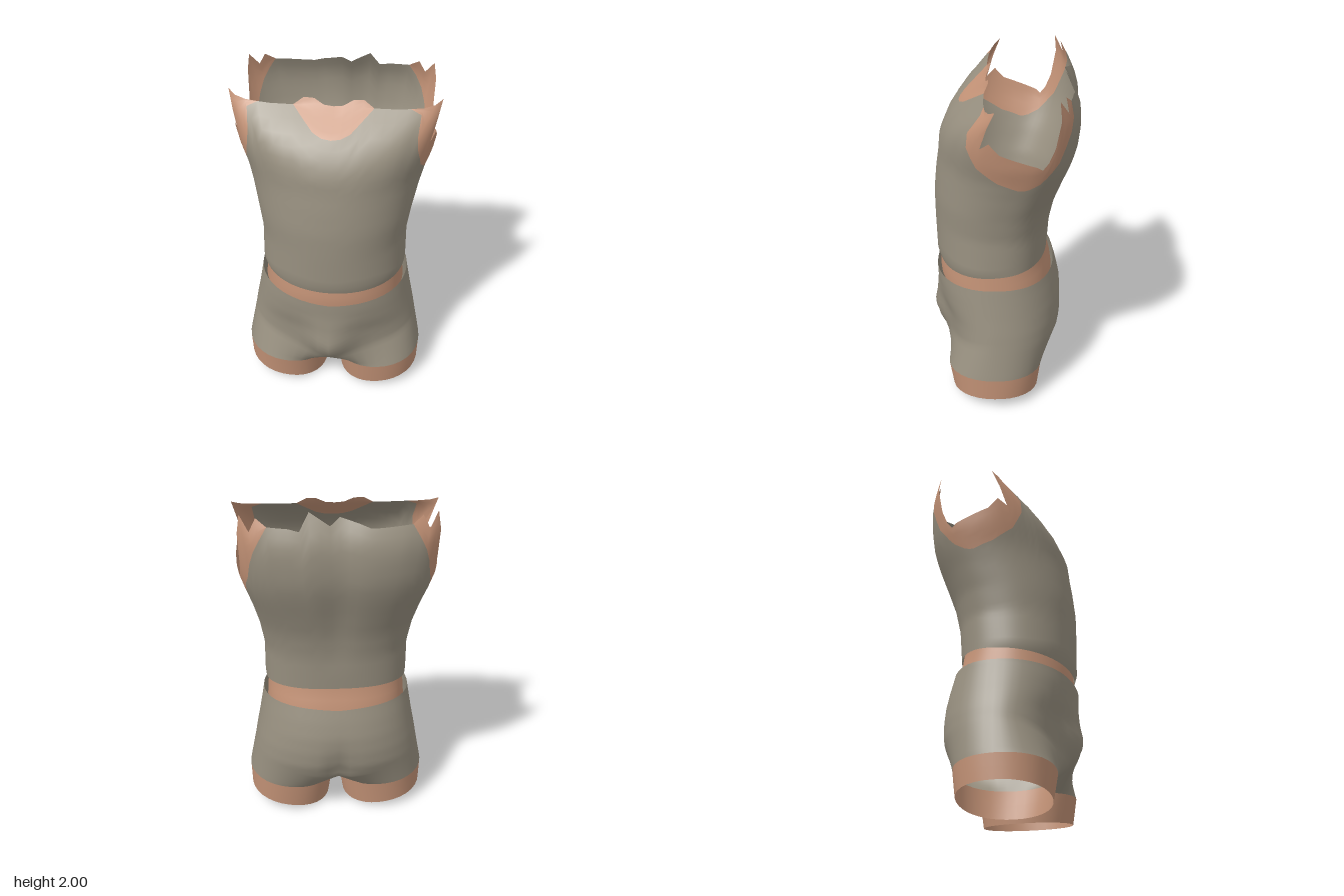
import * as THREE from 'three';
import { mergeGeometries, mergeVertices } from 'three/addons/utils/BufferGeometryUtils.js';

const RAD = Math.PI / 180;
const lerp = THREE.MathUtils.lerp;

// Linear lookup in a table of [key, value, value, ...]
function look(table, key, col = 1) {
  if (key <= table[0][0]) return table[0][col];
  for (let i = 1; i < table.length; i++) {
    const a = table[i - 1], b = table[i];
    if (key <= b[0]) return lerp(a[col], b[col], (key - a[0]) / (b[0] - a[0]));
  }
  return table[table.length - 1][col];
}

// Body cross-sections: [y, half width, front z, back z, widest z, front squareness, back squareness]
function section(table, deg, y) {
  const [w, f, b, mid, nf, nb] = [1, 2, 3, 4, 5, 6].map(c => look(table, y, c));
  const s = Math.sin(deg * RAD), c = Math.cos(deg * RAD);
  const n = c > 0 ? nf : nb;
  const r = (Math.abs(s) ** n + Math.abs(c) ** n) ** (-1 / n);
  return [w * s * r, y, mid + (c > 0 ? f - mid : mid - b) * c * r];
}

// Skin over rows of points running upwards; rows from splitRow on use the second material
function loft(rows, closed, splitRow = Infinity) {
  const n = rows[0].length, index = [];
  const g = new THREE.BufferGeometry();
  let split = 0;
  for (let r = 0; r < rows.length - 1; r++) {
    if (r === splitRow) split = index.length;
    for (let c = 0; c < (closed ? n : n - 1); c++) {
      const a = r * n + c, b = r * n + (c + 1) % n;
      index.push(a, b, b + n, a, b + n, a + n);
    }
  }
  g.setAttribute('position', new THREE.Float32BufferAttribute(rows.flat(2), 3));
  g.setIndex(index);
  if (split) {
    g.addGroup(0, split, 0);
    g.addGroup(split, index.length - split, 1);
  }
  g.computeVertexNormals();
  return g;
}

// Joins left-side pieces with their mirror images into one smooth surface
function mirrored(pieces) {
  const all = [];
  for (const g of pieces) {
    g.deleteAttribute('normal');
    const m = g.clone().scale(-1, 1, 1);
    m.setIndex(Array.from(m.index.array).reverse());
    all.push(g, m);
  }
  const out = mergeVertices(mergeGeometries(all), 1e-4);
  out.computeVertexNormals();
  return out;
}

const steps = (n, fn) => Array.from({ length: n + 1 }, (_, i) => fn(i / n));
const ring = fn => Array.from({ length: 72 }, (_, i) => fn(i * 5));

const TORSO = [
  [0.83, 0.405, 0.38, -0.24, 0.05, 2.05, 2.4], [0.88, 0.422, 0.395, -0.255, 0.05, 2.05, 2.4],
  [1.1, 0.42, 0.4, -0.27, 0.03, 2.05, 2.4], [1.25, 0.445, 0.4, -0.3, 0, 2.1, 2.4],
  [1.4, 0.48, 0.385, -0.35, -0.06, 2.1, 2.5], [1.5, 0.51, 0.37, -0.385, -0.1, 2.1, 2.6],
  [1.6, 0.543, 0.36, -0.415, -0.1, 2.15, 2.7], [1.7, 0.56, 0.315, -0.425, -0.1, 2.5, 2.8],
  [1.78, 0.57, 0.25, -0.423, -0.1, 3, 3], [1.84, 0.58, 0.175, -0.415, -0.12, 4, 3],
  [1.9, 0.592, 0.1, -0.39, -0.14, 6, 3], [2, 0.6, 0.04, -0.335, -0.15, 8, 3.2],
];
// Torn upper edge by angle from the front
const TOP = [
  [0, 1.9], [5, 1.905], [13, 1.95], [20, 1.9], [30, 1.9], [43, 1.91], [50, 1.94], [55, 1.84], [60, 1.72],
  [65, 1.76], [75, 1.7], [90, 1.66], [105, 1.63], [112, 1.6], [120, 1.73], [125, 1.88], [130, 1.98],
  [135, 1.9], [140, 1.97], [145, 1.93], [160, 1.92], [180, 1.92],
];
// Uneven tears along the back of the neck, by full angle
const TEARS = { 160: 1.91, 165: 2, 170: 1.965, 175: 1.93, 180: 1.97, 185: 1.955, 190: 1.94 };
// Lower edge of the bare skin at the neck and the armholes
const SKIN_EDGE = [
  [0, 1.78], [5, 1.785], [10, 1.805], [15, 1.85], [20, 1.9], [22, 2.1], [35, 2.1], [40, 1.88], [45, 1.78],
  [50, 1.7], [60, 1.59], [75, 1.51], [90, 1.47], [98, 1.47], [112, 1.52], [125, 1.63], [132, 1.75],
  [145, 1.93], [148, 2.1],
];
const HIPS = [
  [0.28, 0.525, 0.32, -0.3, 0.03, 2.3, 2.3], [0.4, 0.505, 0.322, -0.345, 0.03, 2.2, 2.3],
  [0.5, 0.488, 0.338, -0.352, 0.03, 2.15, 2.3], [0.6, 0.468, 0.376, -0.345, 0.03, 2.1, 2.3],
  [0.7, 0.45, 0.395, -0.322, 0.03, 2.1, 2.35], [0.79, 0.435, 0.4, -0.295, 0.03, 2.1, 2.4],
];
const WAIST = [
  [0.7, 0.415, 0.375, -0.29, 0.04, 2.05, 2.4], [0.77, 0.41, 0.38, -0.28, 0.04, 2.05, 2.4],
  [0.9, 0.4, 0.37, -0.245, 0.05, 2.05, 2.4],
];

// Torso with a shallow groove along the upper spine
function torsoPoint(deg, y) {
  const p = section(TORSO, deg, y);
  const depth = 0.02 * THREE.MathUtils.clamp((y - 1) / 0.4, 0, 1);
  if (deg > 90 && deg < 270) p[2] += depth * Math.exp(-((p[0] / 0.09) ** 2));
  return p;
}

// Hips with a fuller front and a cleft at the back
function hipPoint(deg, y) {
  const p = section(HIPS, deg, y);
  const bump = (w, h, y0) => Math.exp(-((p[0] / w) ** 2) - ((y - y0) / h) ** 2);
  p[2] += deg < 90 ? 0.1 * bump(0.14, y > 0.41 ? 0.17 : 0.13, 0.41) : 0.045 * bump(0.06, 0.16, 0.34);
  return p;
}

// Ring around the left leg, starting at the inner front, on a slanted plane
function legPoint(deg, x0, x1, zf, zb, yIn, yOut) {
  const s = Math.sin(deg * RAD), c = Math.cos(deg * RAD);
  const r = (Math.abs(s) ** 2.15 + Math.abs(c) ** 2.15) ** (-1 / 2.15);
  const x = (x0 + x1) / 2 + (x1 - x0) / 2 * s * r;
  return [x, lerp(yIn, yOut, (x - x0) / (x1 - x0)), (zf + zb) / 2 + (zf - zb) / 2 * c * r];
}

export function createModel() {
  const model = new THREE.Group();
  const paint = (name, color) => {
    const m = new THREE.MeshStandardMaterial({ color, side: THREE.DoubleSide });
    m.name = name;
    return m;
  };
  const cloth = paint('greyCloth', 0x989080);
  const skin = paint('skin', 0xc49377);
  const add = (name, geometry, material) => {
    const mesh = new THREE.Mesh(geometry, material);
    mesh.name = name;
    model.add(mesh);
  };

  // Shirt, with bare skin at neck and armholes, open at the top
  const topAt = a => TEARS[a] ?? look(TOP, Math.min(a, 360 - a));
  const edgeAt = a => Math.min(topAt(a), look(SKIN_EDGE, Math.min(a, 360 - a)));
  const hemAt = a => 0.865 - 0.035 * Math.cos(a * RAD);
  const shirtRows = steps(20, t => ring(a => torsoPoint(a, lerp(hemAt(a), edgeAt(a), t))));
  const skinRows = steps(5, t => ring(a => torsoPoint(a, lerp(edgeAt(a), topAt(a), t)))).slice(1);
  add('shirt', loft([...shirtRows, ...skinRows], true, 20), [cloth, skin]);

  // Bare waist between shirt and shorts
  add('waist', loft(steps(4, t => ring(a => section(WAIST, a, lerp(0.72, hemAt(a) + 0.03, t)))), true), skin);

  // Shorts: half a pelvis, then a leg blended from its lower edge and the crotch seam
  const angles = steps(24, t => t * 180);
  const waistY = a => 0.76 - 0.015 * Math.cos(a * RAD) + 0.03 * Math.sin(a * RAD);
  const splitY = a => 0.285 + 0.15 * Math.sin(a * RAD);
  const pelvis = loft(steps(14, t => angles.map(a => hipPoint(a, lerp(splitY(a), waistY(a), t)))), false);

  const arc = angles.map(a => hipPoint(a, splitY(a)));
  const front = arc[0], back = arc[24];
  const seam = steps(10, t => [0, 0.285 - 0.02 * Math.sin(t * Math.PI), lerp(back[2], front[2], t)]).slice(1, -1);
  const split = [...arc, ...seam];
  const legAngles = split.map((_, i) => (i <= 24 ? -40 + i / 24 * 260 : 220 + (i - 24) / 10 * 100));
  const cuffTop = legAngles.map(a => legPoint(a, 0.02, 0.54, 0.325, -0.235, 0.165, 0.22));
  const cuffEnd = legAngles.map(a => legPoint(a, 0.045, 0.535, 0.3, -0.215, 0, 0.08));
  const blend = (low, high, n) => steps(n, t => low.map((p, i) => p.map((v, k) => lerp(v, high[i][k], t))));
  add('shorts', mirrored([pelvis, loft(blend(cuffTop, split, 6), true)]), cloth);

  // Bare thighs below the shorts, open at the bottom
  add('thighs', mirrored([loft(blend(cuffEnd, cuffTop, 2), true)]), skin);

  return model;
}
